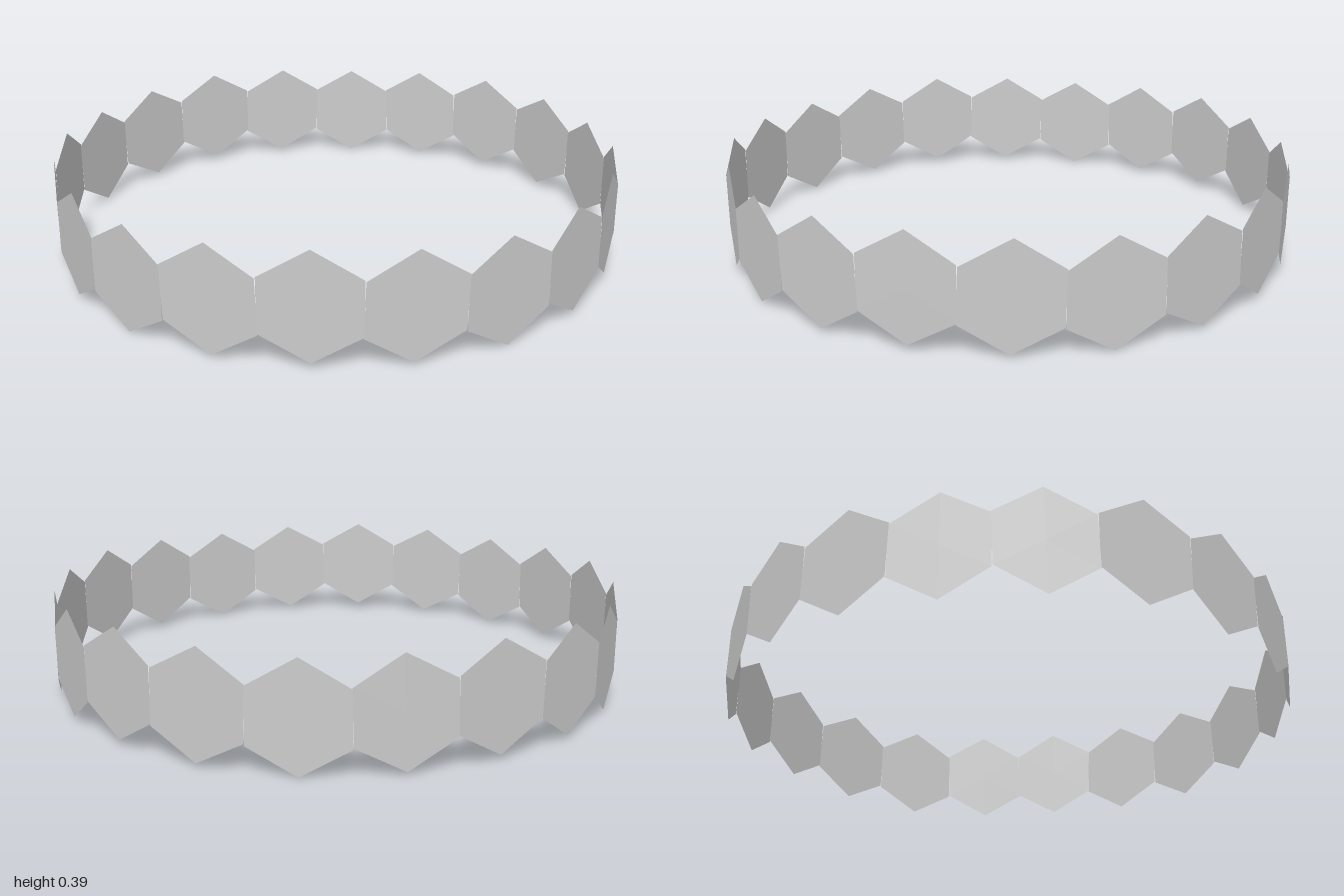
import * as THREE from 'three';

export function createModel() {
  const group = new THREE.Group();
  group.name = 'hexagonBand';
  const material = new THREE.MeshStandardMaterial({
    color: 0xcccccc, flatShading: true, side: THREE.DoubleSide,
  });

  const count = 20;
  const step = (Math.PI * 2) / count;
  const radius = Math.tan(step / 2) / Math.cos(Math.PI / 6); // flats meet edge to edge
  const wave = 0.01; // gentle rise and fall, five times round the ring
  const roll = 0.031; // each panel leans along that wave

  // Thin hexagonal panels, points up and down, facing outward
  for (let i = 0; i < count; i++) {
    const angle = i * step;
    const geometry = new THREE.CircleGeometry(radius, 6, Math.PI / 2);
    geometry.rotateZ(-roll * Math.cos(5 * angle));
    geometry.translate(0, radius + wave - wave * Math.sin(5 * angle), 1);
    geometry.rotateY(angle);
    const panel = new THREE.Mesh(geometry, material);
    panel.name = `hexagonPanel${i + 1}`;
    group.add(panel);
  }
  return group;
}
